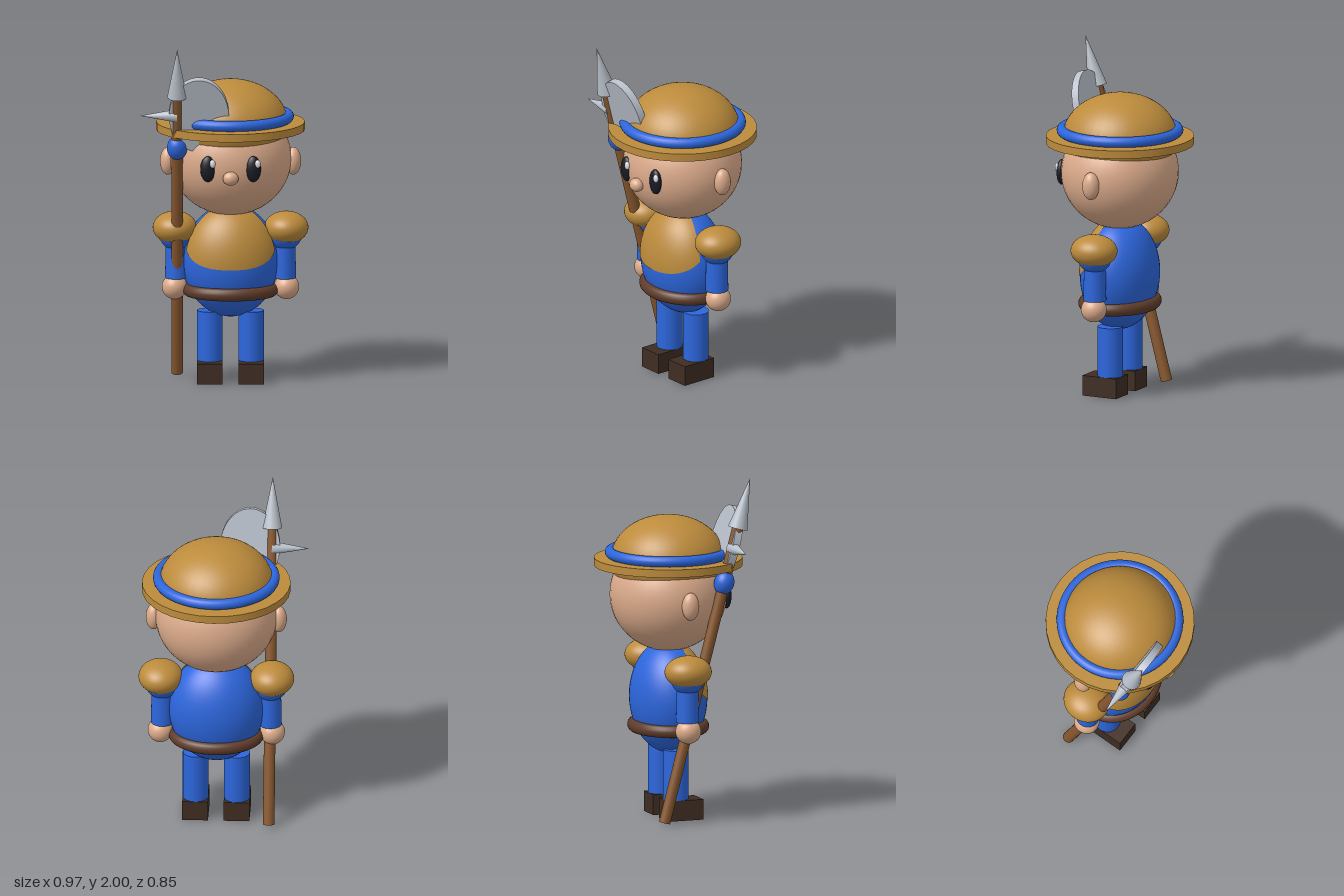
import * as THREE from 'three';
import { ParametricGeometry } from 'three/addons/geometries/ParametricGeometry.js';

const mat = (name, color, side = THREE.FrontSide) => {
  const m = new THREE.MeshStandardMaterial({ color, side });
  m.name = name;
  return m;
};

export function createModel() {
  const gold = mat('gold', 0xbc8b3c, THREE.DoubleSide);
  const blue = mat('blue', 0x2c66dc);
  const skin = mat('skin', 0xdcab8b);
  const wood = mat('wood', 0x88582f);
  const leather = mat('belt leather', 0x603c2a);
  const shoeBrown = mat('shoe brown', 0x3f2d22);
  const steel = mat('steel', 0xb9c0ca);
  const black = mat('eye black', 0x1a1a24);
  const glint = mat('eye glint', 0xe6e8f0);

  const model = new THREE.Group();
  model.name = 'guard';
  const figure = new THREE.Group();
  figure.name = 'figure';
  figure.position.x = 0.037;
  model.add(figure);

  const add = (parent, name, geometry, material, x, y, z) => {
    const mesh = new THREE.Mesh(geometry, material);
    mesh.name = name;
    mesh.position.set(x, y, z);
    parent.add(mesh);
    return mesh;
  };
  const ball = (parent, name, material, [x, y, z], [rx, ry, rz]) =>
    add(parent, name, new THREE.SphereGeometry(1, 40, 28).scale(rx, ry, rz), material, x, y, z);

  // Torso with a gold breastplate laid over the front
  ball(figure, 'torso', blue, [0, 0.7, 0], [0.275, 0.325, 0.217]);
  const plate = (u, v, target) => {
    const phi = (u * 2 - 1) * 1.2;
    const low = -0.06 + 0.28 * Math.abs(u * 2 - 1) ** 2.6;
    const lat = Math.asin(THREE.MathUtils.lerp(low, 0.95, v));
    const r = 1.018;
    target.set(0.275 * r * Math.cos(lat) * Math.sin(phi), 0.325 * r * Math.sin(lat),
      0.217 * r * Math.cos(lat) * Math.cos(phi));
  };
  add(figure, 'breastplate', new ParametricGeometry(plate, 32, 16), gold, 0, 0.7, 0);

  // Belt
  const belt = new THREE.TorusGeometry(0.24, 0.037, 16, 48).rotateX(Math.PI / 2).scale(1, 1, 0.823);
  add(figure, 'belt', belt, leather, 0, 0.532, 0);

  // Head, nose
  ball(figure, 'head', skin, [0, 1.297, 0], [0.35, 0.328, 0.335]);
  ball(figure, 'nose', skin, [0, 1.238, 0.343], [0.045, 0.04, 0.038]);

  // Mirrored parts
  for (const [side, s] of [['left', 1], ['right', -1]]) {
    ball(figure, side + 'Ear', skin, [s * 0.36, 1.28, 0], [0.045, 0.08, 0.05]);
    ball(figure, side + 'Eye', black, [s * 0.13, 1.288, 0.308], [0.044, 0.075, 0.027]);
    ball(figure, side + 'EyeGlint', glint, [s * 0.13 + 0.026, 1.32, 0.326], [0.017, 0.024, 0.012]);

    ball(figure, side + 'ShoulderPad', gold, [s * 0.32, 0.893, 0], [0.127, 0.093, 0.137]);
    ball(figure, side + 'Shoulder', blue, [s * 0.312, 0.86, 0], [0.1, 0.1, 0.1]);
    add(figure, side + 'Arm', new THREE.CylinderGeometry(0.061, 0.066, 0.26, 28), blue, s * 0.31, 0.73, 0);
    ball(figure, side + 'Hand', skin, [s * 0.322, 0.547, 0], [0.072, 0.072, 0.074]);

    add(figure, side + 'Leg', new THREE.CylinderGeometry(0.074, 0.074, 0.31, 28), blue, s * 0.119, 0.255, 0);
    add(figure, side + 'Shoe', new THREE.BoxGeometry(0.148, 0.118, 0.217), shoeBrown, s * 0.119, 0.061, 0.034);
  }

  // Hat
  const hat = new THREE.Group();
  hat.name = 'hat';
  figure.add(hat);
  ball(hat, 'hatCrown', gold, [0, 1.5, 0], [0.33, 0.255, 0.33]);
  add(hat, 'hatBrim', new THREE.CylinderGeometry(0.427, 0.427, 0.046, 32), gold, 0, 1.488, 0);
  add(hat, 'hatBand', new THREE.TorusGeometry(0.333, 0.031, 16, 56).rotateX(Math.PI / 2), blue, 0, 1.541, 0);

  // Halberd, built upright from its foot and then leaned forward
  const halberd = new THREE.Group();
  halberd.name = 'halberd';
  halberd.position.set(-0.27, 0.02, -0.14);
  halberd.rotation.x = 0.26;
  model.add(halberd);
  add(halberd, 'shaft', new THREE.CylinderGeometry(0.033, 0.033, 1.78, 24), wood, 0, 0.89, 0);
  add(halberd, 'spearPoint', new THREE.ConeGeometry(0.057, 0.3, 28), steel, 0, 1.898, 0);
  const blade = new THREE.CylinderGeometry(1, 1, 0.045, 48).rotateX(Math.PI / 2).scale(0.172, 0.226, 1);
  add(halberd, 'axeBlade', blade, steel, 0.125, 1.635, 0);
  add(halberd, 'backSpike', new THREE.ConeGeometry(0.039, 0.215, 24).rotateZ(Math.PI / 2), steel, -0.108, 1.628, 0);
  ball(halberd, 'tassel', blue, [0, 1.425, 0], [0.058, 0.071, 0.058]);

  return model;
}
